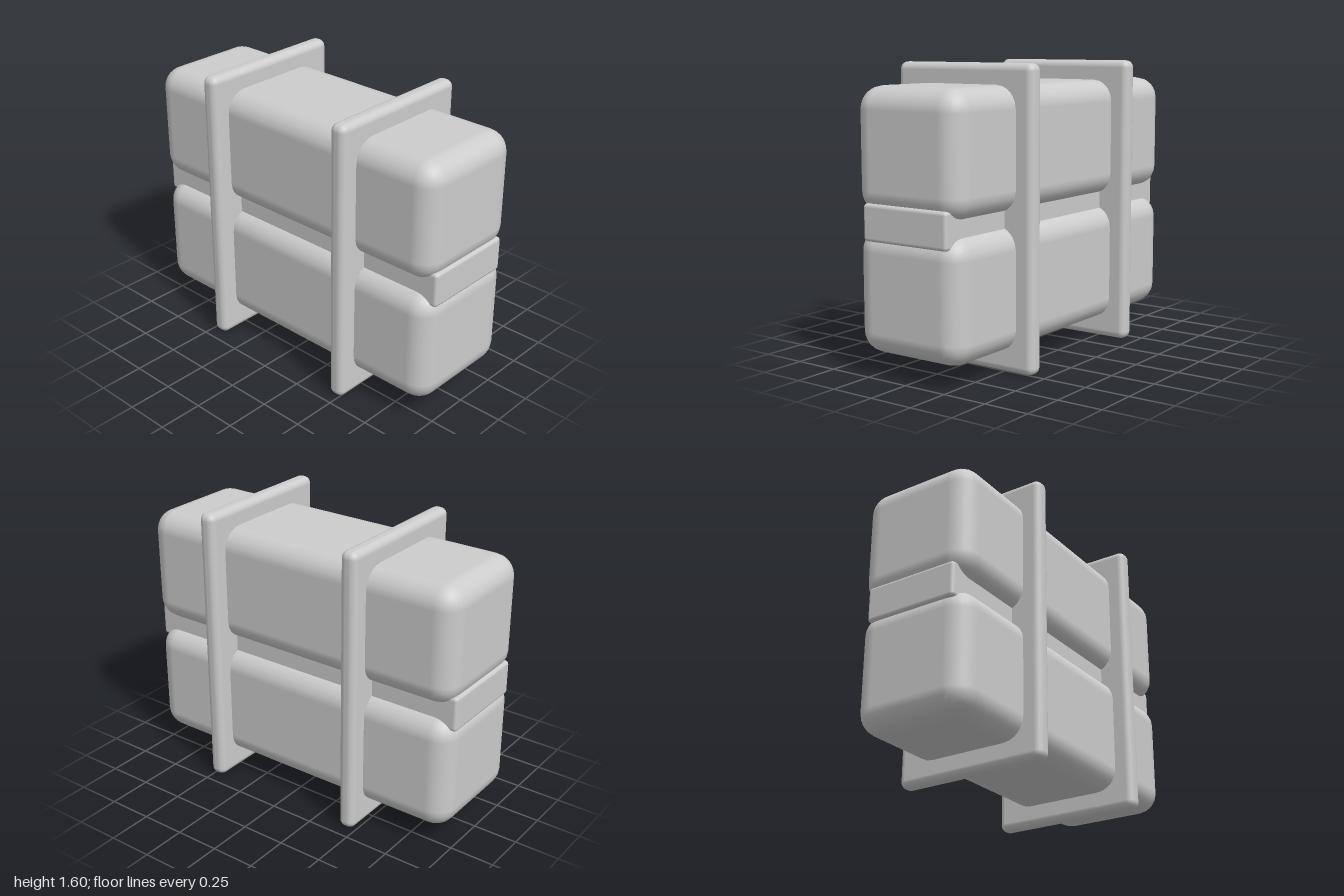
import * as THREE from 'three';
import { RoundedBoxGeometry } from 'three/addons/geometries/RoundedBoxGeometry.js';

export function createModel() {
  const model = new THREE.Group();
  model.name = 'strappedBlocks';
  const grey = new THREE.MeshStandardMaterial({ color: 0xcccccc });
  grey.name = 'light grey';

  // Softly rounded box, placed by its centre
  function roundedBox(name, [w, h, d], [x, y, z], radius, segments) {
    const mesh = new THREE.Mesh(new RoundedBoxGeometry(w, h, d, segments, radius), grey);
    mesh.name = name;
    mesh.position.set(x, y, z);
    model.add(mesh);
  }

  // Two large stacked blocks
  roundedBox('lowerBlock', [1.996, 0.655, 0.68], [0, 0.4425, 0], 0.12, 3);
  roundedBox('upperBlock', [1.996, 0.65, 0.68], [0, 1.165, 0], 0.12, 3);

  // Narrow spacer between the blocks
  roundedBox('spacer', [2, 0.195, 0.54], [0, 0.803, 0], 0.02, 2);

  // Two upright plates passing through everything
  roundedBox('rightPlate', [0.096, 1.6, 0.88], [-0.443, 0.8, 0], 0.04, 3);
  roundedBox('leftPlate', [0.096, 1.6, 0.88], [0.477, 0.8, 0], 0.04, 3);

  return model;
}
